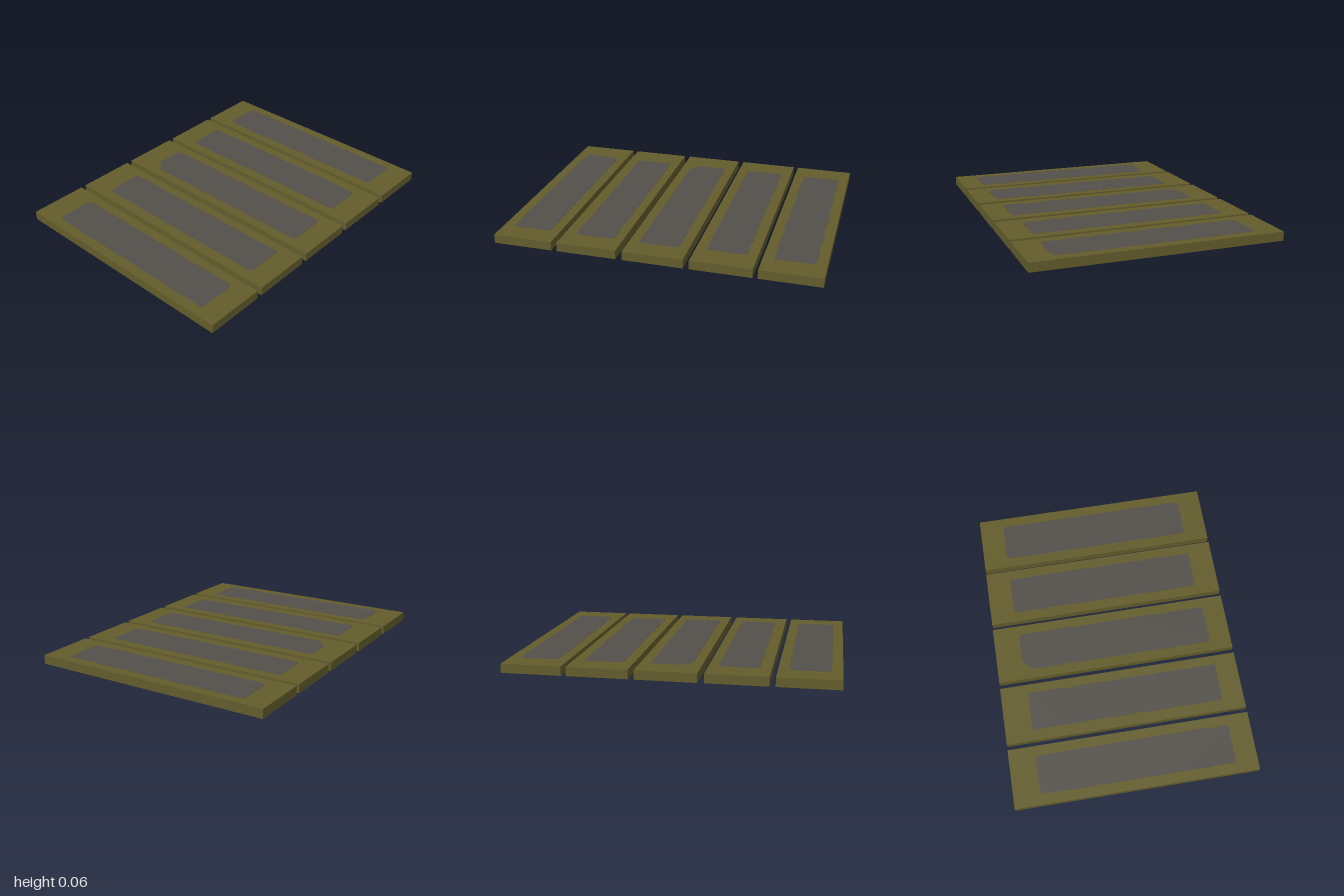
import * as THREE from 'three';

const WIDTH = 1.54, DEPTH = 0.372, HEIGHT = 0.058, SKIN = 0.001;

// One entry per plank, back to front: centre z, worn patch bounds,
// and corner cuts in the order back-left, back-right, front-right, front-left as seen from above
const PLANKS = [
  { z: -0.814, x0: -0.615, x1: 0.618, z0: -0.937, z1: -0.692, cuts: [0.015, 0.02, 0.015, 0.02] },
  { z: -0.412, x0: -0.613, x1: 0.613, z0: -0.534, z1: -0.290, cuts: [0.015, 0.015, 0.015, 0.015] },
  { z: -0.004, x0: -0.605, x1: 0.632, z0: -0.128, z1: 0.120, cuts: [0.025, 0.015, 0.02, 0.065] },
  { z: 0.407, x0: -0.597, x1: 0.632, z0: 0.280, z1: 0.523, cuts: [0.015, 0.015, 0.02, 0.015] },
  { z: 0.814, x0: -0.603, x1: 0.632, z0: 0.690, z1: 0.936, cuts: [0.045, 0.015, 0.02, 0.02] },
];

// Slightly wavy rectangle with cut corners, extruded into a thin plate
function patchGeometry({ x0, x1, z0, z1, cuts }, seed) {
  const [a, b, c, d] = cuts;
  const points = [];
  const edge = (zEdge, from, to, phase) => {
    const steps = 14;
    for (let i = 0; i <= steps; i++) {
      const wave = i % steps ? 0.003 * Math.sin(i * 2.1 + phase) : 0;
      points.push(new THREE.Vector2(from + (to - from) * i / steps, -(zEdge + wave)));
    }
  };
  edge(z1, x0 + d, x1 - c, seed * 1.7);
  points.push(new THREE.Vector2(x1 - c * 0.25, -(z1 - c * 0.25)));
  points.push(new THREE.Vector2(x1, -(z1 - c)), new THREE.Vector2(x1, -(z0 + b)));
  points.push(new THREE.Vector2(x1 - b * 0.25, -(z0 + b * 0.25)));
  edge(z0, x1 - b, x0 + a, seed * 2.3 + 1);
  points.push(new THREE.Vector2(x0 + a * 0.25, -(z0 + a * 0.25)));
  points.push(new THREE.Vector2(x0, -(z0 + a)), new THREE.Vector2(x0, -(z1 - d)));
  const geometry = new THREE.ExtrudeGeometry(new THREE.Shape(points), { depth: 2 * SKIN, bevelEnabled: false });
  return geometry.rotateX(-Math.PI / 2);
}

export function createModel() {
  const model = new THREE.Group();
  model.name = 'plankPanel';
  const olive = new THREE.MeshStandardMaterial({ name: 'olive wood', color: 0x625c2b });
  const grey = new THREE.MeshStandardMaterial({ name: 'worn grey', color: 0x534f4a });

  const board = new THREE.BoxGeometry(WIDTH, HEIGHT - 2 * SKIN, DEPTH);
  PLANKS.forEach((spec, i) => {
    const group = new THREE.Group();
    group.name = `plank${i + 1}`;

    const plank = new THREE.Mesh(board, olive);
    plank.name = 'board';
    plank.position.set(0, HEIGHT / 2, spec.z);
    group.add(plank);

    // Worn patches on the upper and lower faces
    const geometry = patchGeometry(spec, i + 1);
    for (const [name, y] of [['topPatch', HEIGHT - 2 * SKIN], ['bottomPatch', 0]]) {
      const patch = new THREE.Mesh(geometry, grey);
      patch.name = name;
      patch.position.y = y;
      group.add(patch);
    }
    model.add(group);
  });
  return model;
}
